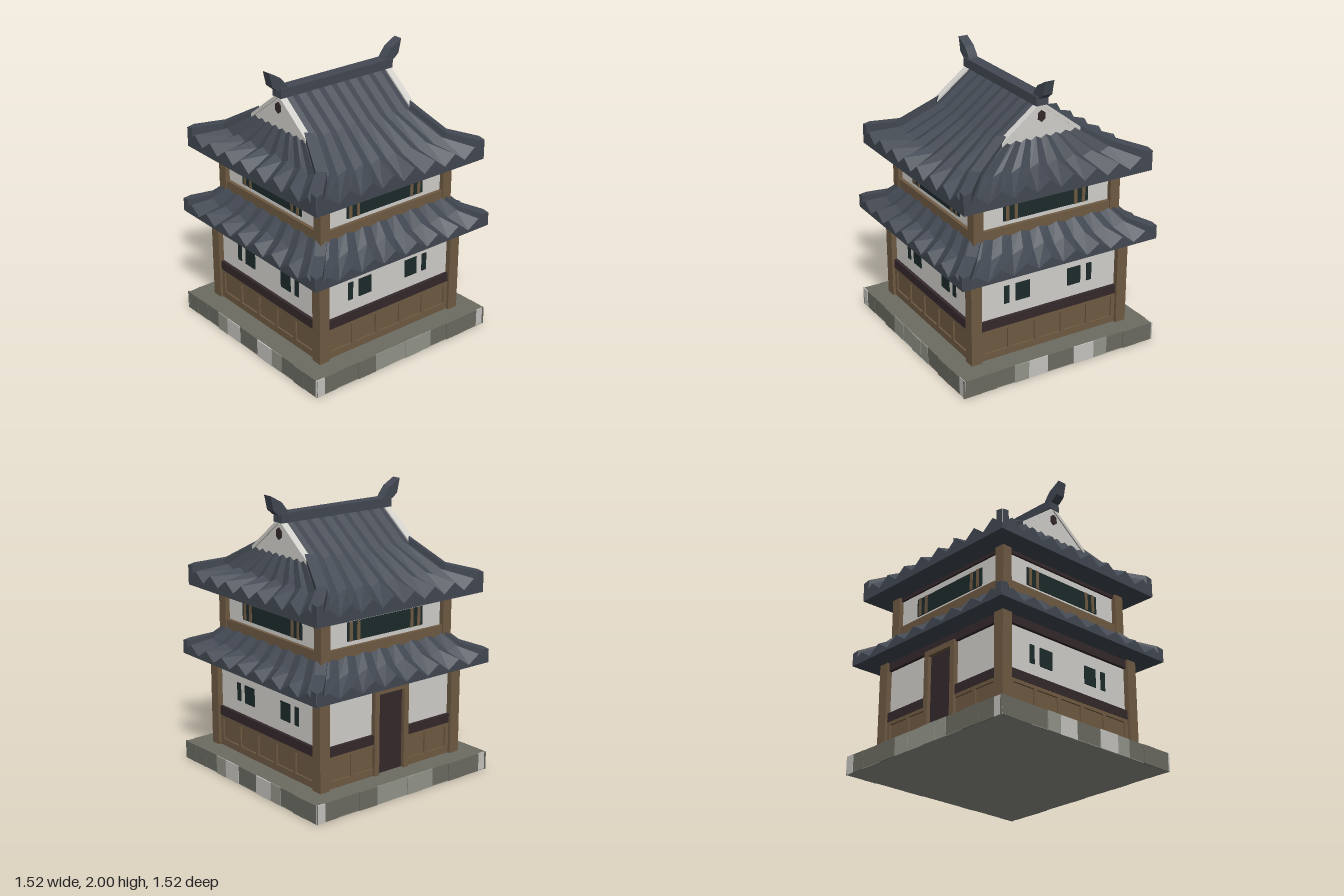
import * as THREE from 'three';

const mat = (name, color) => {
  const m = new THREE.MeshStandardMaterial({ color });
  m.name = name;
  return m;
};

export function createModel() {
  const plaster = mat('plaster', 0xd3d1cc);
  const wood = mat('wood', 0x6f5b43);
  const darkWood = mat('dark wood', 0x35292c);
  const glass = mat('dark window', 0x1d2b2c);
  const tile = mat('roof tile', 0x434953);
  const stoneDark = mat('dark stone', 0x6c6c63);
  const stoneMid = mat('mid stone', 0x95968c);
  const stoneLight = mat('light stone', 0xc6c5c0);
  const model = new THREE.Group();
  model.name = 'tower';

  const add = (parent, name, geometry, material) => {
    const mesh = new THREE.Mesh(geometry, material);
    mesh.name = name;
    parent.add(mesh);
    return mesh;
  };
  // Box given by its limits on each axis
  const box = (parent, name, material, x0, x1, y0, y1, z0, z1) => {
    const g = new THREE.BoxGeometry(x1 - x0, y1 - y0, z1 - z0);
    g.translate((x0 + x1) / 2, (y0 + y1) / 2, (z0 + z1) / 2);
    return add(parent, name, g, material);
  };
  const group = (name, angle = 0) => {
    const g = new THREE.Group();
    g.name = name;
    g.rotation.y = angle;
    model.add(g);
    return g;
  };
  const flat = (positions, index) => {
    let g = new THREE.BufferGeometry();
    g.setAttribute('position', new THREE.Float32BufferAttribute(positions, 3));
    g.setIndex(index);
    g = g.toNonIndexed();
    g.computeVertexNormals();
    return g;
  };

  // Folded tile slope facing +z; rows are [distance out, height, half width, fold]
  const slope = (rows, n) => {
    const pos = [], idx = [], cols = 2 * n + 1;
    rows.forEach(([d, y, half, fold], i) => {
      for (let j = 0; j < cols; j++) {
        pos.push(half * (j / n - 1), y + (j % 2 ? fold : -fold), d);
        if (i && j) {
          const a = (i - 1) * cols + j - 1, c = i * cols + j - 1;
          idx.push(a, c, a + 1, a + 1, c, c + 1);
        }
      }
    });
    return flat(pos, idx);
  };

  // Hip ridge swept along [x, bottom, top, z, half width], mirrored to four corners
  const hips = (name, sections) => {
    const pos = [], idx = [0, 1, 2, 0, 2, 3];
    sections.forEach(([x, y0, y1, z, w], i) => {
      pos.push(x + w, y0, z - w, x - w, y0, z + w, x - w, y1, z + w, x + w, y1, z - w);
      if (!i) return;
      for (let k = 0; k < 4; k++) {
        const a = (i - 1) * 4 + k, b = (i - 1) * 4 + (k + 1) % 4;
        idx.push(a, a + 4, b, b, a + 4, b + 4);
      }
    });
    const g = flat(pos, idx);
    for (const sx of [-1, 1]) for (const sz of [-1, 1]) add(model, name, g, tile).scale.set(sx, 1, sz);
  };

  // Stone base with facing stones
  box(model, 'base', stoneDark, -0.751, 0.751, 0.004, 0.13, -0.751, 0.751);
  box(model, 'base underside', stoneMid, -0.755, 0.755, 0, 0.004, -0.755, 0.755);
  const D = stoneDark, M = stoneMid, L = stoneLight;
  const layouts = [
    [[-0.76, -0.63, -0.51, -0.37, -0.26, -0.11, 0.1, 0.26, 0.37, 0.51, 0.62, 0.76], [D, D, D, M, L, D, L, M, D, D, D]],
    [[-0.76, -0.69, -0.58, -0.4, -0.25, -0.12, 0.02, 0.15, 0.25, 0.4, 0.56, 0.69, 0.76], [L, D, D, D, M, M, M, M, D, D, D, L]],
  ];

  for (let s = 0; s < 4; s++) {
    const side = group('side ' + (s + 1), s * Math.PI / 2);
    const [edges, mats] = layouts[s % 2];
    mats.forEach((m, i) => box(side, 'facing stone', m, edges[i], edges[i + 1], 0, 0.13, 0.75, 0.76 - (i % 3) * 0.003));

    // Lower storey: posts, wooden panels, bands
    box(side, 'lower post', wood, 0.54, 0.62, 0.13, 0.82, 0.54, 0.62);
    const hasDoor = s === 3;
    const spans = hasDoor ? [[-0.54, -0.12], [0.12, 0.54]] : [[-0.54, 0.54]];
    for (const [a, b] of spans) {
      box(side, 'wood panel', wood, a, b, 0.13, 0.36, 0.57, 0.588);
      box(side, 'bottom rail', wood, a, b, 0.13, 0.18, 0.58, 0.6);
      box(side, 'top rail', wood, a, b, 0.33, 0.36, 0.58, 0.6);
      box(side, 'lower band', darkWood, a, b, 0.355, 0.42, 0.58, 0.603);
      const count = hasDoor ? 2 : 5;
      for (let i = 0; i <= count; i++) {
        const x = a + 0.015 + (b - a - 0.03) * i / count;
        box(side, 'stile', wood, x - 0.015, x + 0.015, 0.18, 0.33, 0.58, 0.6);
      }
    }
    box(side, 'upper band', darkWood, -0.54, 0.54, 0.73, 0.8, 0.58, 0.603);
    if (hasDoor) {
      box(side, 'door', darkWood, -0.12, 0.12, 0.13, 0.73, 0.58, 0.587);
      for (const x of [-0.13, 0.13]) box(side, 'door post', wood, x - 0.02, x + 0.02, 0.13, 0.73, 0.58, 0.615);
      box(side, 'door lintel', wood, -0.15, 0.15, 0.7, 0.74, 0.58, 0.615);
    } else {
      for (const [a, b] of [[-0.35, -0.31], [-0.26, -0.15], [0.15, 0.255], [0.305, 0.345]])
        box(side, 'lower window', glass, a, b, 0.51, 0.64, 0.578, 0.586);
    }

    // Upper storey: posts, sill, band, barred window
    box(side, 'upper post', wood, 0.495, 0.57, 0.95, 1.32, 0.495, 0.57);
    box(side, 'sill', wood, -0.5, 0.5, 0.98, 1.06, 0.53, 0.56);
    box(side, 'top band', darkWood, -0.5, 0.5, 1.265, 1.31, 0.53, 0.55);
    box(side, 'upper window', glass, -0.33, 0.33, 1.09, 1.22, 0.533, 0.541);
    for (const x of [-0.3, -0.235, 0.23, 0.293]) box(side, 'window bar', wood, x - 0.012, x + 0.012, 1.09, 1.22, 0.535, 0.546);

    // Tile slopes ending in a vertical eave face
    add(side, 'lower roof slope', slope([
      [0.54, 1.02, 0.54, 0.008], [0.64, 0.905, 0.64, 0.015], [0.757, 0.838, 0.757, 0.03], [0.757, 0.79, 0.757, 0],
    ], 8), tile);
    const eave = [[0.55, 1.44, 0.55, 0.015], [0.72, 1.365, 0.72, 0.034], [0.72, 1.29, 0.72, 0]];
    const top = s % 2
      ? [[0, 1.825, 0.43, 0.008], [0.29, 1.605, 0.43, 0.008]]
      : [[0.46, 1.6, 0.29, 0.01]];
    add(side, 'upper roof slope', slope([...top, ...eave], 8), tile);
  }

  // Plaster walls and eave undersides
  box(model, 'lower wall', plaster, -0.58, 0.58, 0.13, 0.82, -0.58, 0.58);
  box(model, 'upper wall', plaster, -0.535, 0.535, 0.9, 1.32, -0.535, 0.535);
  box(model, 'lower soffit', tile, -0.756, 0.756, 0.79, 0.798, -0.756, 0.756);
  box(model, 'upper soffit', tile, -0.719, 0.719, 1.29, 1.298, -0.719, 0.719);

  hips('lower hip ridge', [
    [0.52, 0.96, 1.035, 0.52, 0.026], [0.61, 0.88, 0.94, 0.61, 0.026],
    [0.73, 0.8, 0.893, 0.73, 0.027], [0.757, 0.8, 0.885, 0.757, 0.001],
  ]);
  hips('upper hip ridge', [
    [0.28, 1.56, 1.64, 0.43, 0.024], [0.535, 1.4, 1.485, 0.535, 0.026],
    [0.693, 1.31, 1.44, 0.693, 0.027], [0.72, 1.31, 1.43, 0.72, 0.001],
  ]);

  // Gables with raised bargeboards and a six-sided boss
  const shape = (pts) => new THREE.Shape(pts.map(([x, y]) => new THREE.Vector2(x, y)));
  const extrude = (s, depth) => new THREE.ExtrudeGeometry(s, { depth, bevelEnabled: false });
  for (const [name, angle] of [['front gable', 0], ['back gable', Math.PI]]) {
    const gable = group(name, angle);
    add(gable, 'gable wall', extrude(shape([[-0.3, 1.58], [0.3, 1.58], [0.3, 1.605], [0, 1.835], [-0.3, 1.605]]), 0.04), plaster)
      .position.z = 0.425;
    add(gable, 'bargeboard', extrude(shape([
      [-0.3, 1.605], [-0.3, 1.575], [0, 1.805], [0.3, 1.575], [0.3, 1.605], [0, 1.835],
    ]), 0.012), plaster).position.z = 0.463;
    const boss = new THREE.CylinderGeometry(0.041, 0.041, 0.02, 6);
    boss.rotateX(Math.PI / 2).scale(0.75, 1, 1);
    add(gable, 'gable boss', boss, darkWood).position.set(0, 1.735, 0.464);

    // Upswept ridge end, drawn in the plane of depth and height
    const horn = extrude(shape([
      [0.41, 1.865], [0.495, 1.865], [0.537, 1.9], [0.56, 2], [0.47, 1.95], [0.43, 1.9],
    ]), 0.07);
    horn.translate(0, 0, -0.035).rotateY(-Math.PI / 2);
    add(gable, 'ridge horn', horn, tile);
  }
  box(model, 'main ridge', tile, -0.045, 0.045, 1.81, 1.875, -0.478, 0.478);

  return model;
}
